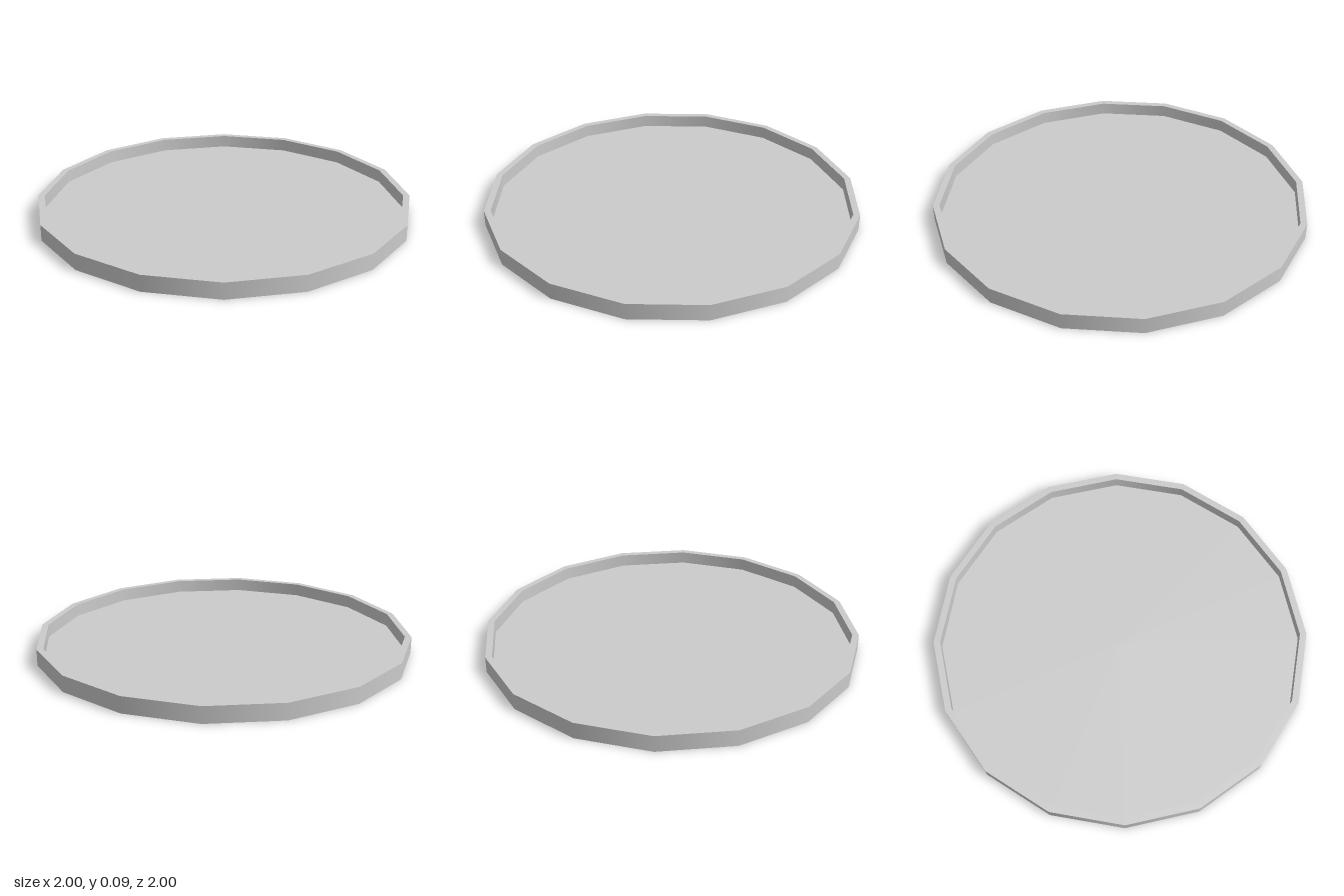
import * as THREE from 'three';

const SIDES = 16;
const R_OUT = 1, R_IN = 0.965;
const HEIGHT = 0.087, FLOOR = 0.018;

export function createModel() {
  const group = new THREE.Group();
  group.name = 'roundTray';
  const material = new THREE.MeshStandardMaterial({ color: 0xcccccc });

  // One 16-sided band between two profile points: smooth around, sharp where bands meet
  function band(name, r0, y0, r1, y1) {
    const profile = [new THREE.Vector2(r0, y0), new THREE.Vector2(r1, y1)];
    const mesh = new THREE.Mesh(new THREE.LatheGeometry(profile, SIDES), material);
    mesh.name = name;
    group.add(mesh);
  }

  // Flat disc facing up (+1) or down (-1)
  function disc(name, radius, y, facing) {
    const geometry = new THREE.CircleGeometry(radius, SIDES);
    geometry.rotateX(-facing * Math.PI / 2).translate(0, y, 0);
    const mesh = new THREE.Mesh(geometry, material);
    mesh.name = name;
    group.add(mesh);
  }

  disc('base', R_OUT, 0, -1);
  band('outerWall', R_OUT, 0, R_OUT, HEIGHT);
  band('rim', R_OUT, HEIGHT, R_IN, HEIGHT);
  band('innerWall', R_IN, HEIGHT, R_IN, FLOOR);
  disc('floor', R_IN, FLOOR, 1);

  return group;
}
